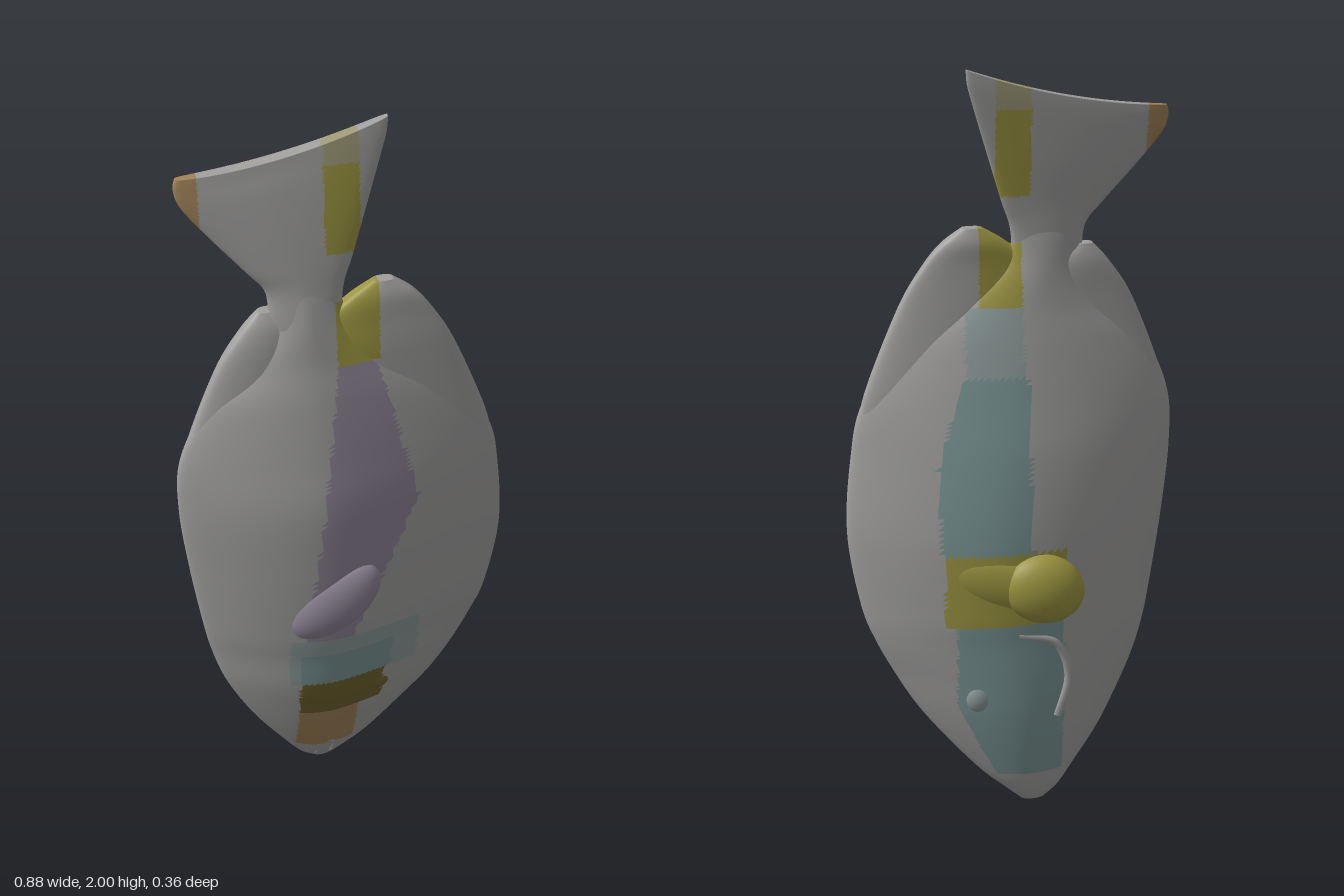
import * as THREE from 'three';

const GREY = 0xa09f9e, PURPLE = 0x8d8495, TEAL = 0x7a9494, PALE_TEAL = 0x8c9b9a, YELLOW = 0x9b9440;
const PALE_YELLOW = 0x9e9a78, OLIVE = 0x6f612c, ORANGE = 0xa08258;
const names = {
  [GREY]: 'Skin', [PURPLE]: 'PurpleFlank', [TEAL]: 'TealFlank', [PALE_TEAL]: 'PaleTealEdge',
  [YELLOW]: 'YellowPatch', [PALE_YELLOW]: 'PaleYellowEdge', [OLIVE]: 'OlivePatch', [ORANGE]: 'OrangePatch',
};
const N = 128; // points around each cross-section

function ball(name, color, pos, scale, rotZ = 0, rotY = 0) {
  const m = new THREE.Mesh(new THREE.SphereGeometry(1, 28, 18), new THREE.MeshStandardMaterial({ color }));
  m.name = name;
  m.position.set(...pos);
  m.scale.set(...scale);
  m.rotation.set(0, rotY, rotZ);
  return m;
}

function tube(name, color, pts, r) {
  const curve = new THREE.CatmullRomCurve3(pts.map(p => new THREE.Vector3(...p)));
  const m = new THREE.Mesh(new THREE.TubeGeometry(curve, 24, r, 8), new THREE.MeshStandardMaterial({ color }));
  m.name = name;
  return m;
}

// Fall-off from the ridge (u = 0) to the rim (u = 1): nearly straight with a rounded top
const straightFall = u => (Math.sqrt(1.02) - Math.sqrt(u * u + 0.02)) / (Math.sqrt(1.02) - Math.sqrt(0.02));

// Flat lens section: row = [y, xLow, xHigh, midZ, backZ, frontZ, rim, tilt, slope]
function sectionPoint([y, x0, x1, mid, back, front, rim, tilt, slope], a) {
  const t = Math.cos(a), s = Math.sin(a), half = (x1 - x0) / 2;
  const x = (x0 + x1) / 2 + half * t;
  const zr = mid - tilt * x;
  const peakX = x0 + (x1 - x0) * (s > 0 ? 0.42 : 0.52);
  const u = Math.min(1, Math.abs(x > peakX ? (x - peakX) / (x1 - peakX) : (peakX - x) / (peakX - x0)));
  const fall = s > 0 && x > peakX ? straightFall(u) : 1 - u ** 1.8;
  const edge = rim * Math.sqrt(Math.abs(s));
  const rise = Math.max(0, (s > 0 ? front - mid : mid - back) - rim) * fall;
  return [x, y + slope * t + 0.4 * slope * t * t, zr + Math.sign(s) * (edge + rise)];
}

// Smooth loft through the rows, split into one mesh per painted colour
function loft(name, rows, steps, paint = () => GREY) {
  const columns = rows[0].map((_, c) => new THREE.SplineCurve(rows.map(r => new THREE.Vector2(r[c], 0))));
  const pos = [];
  for (let i = 0; i <= steps; i++) {
    const row = columns.map(c => c.getPoint(i / steps).x);
    for (let j = 0; j < N; j++) pos.push(...sectionPoint(row, j / N * Math.PI * 2));
  }
  const sets = new Map(), all = [];
  const face = (a, b, c) => {
    const mean = k => (pos[a * 3 + k] + pos[b * 3 + k] + pos[c * 3 + k]) / 3;
    const color = paint(mean(0), mean(1), a % N < N / 2);
    if (!sets.has(color)) sets.set(color, []);
    sets.get(color).push(a, b, c);
    all.push(a, b, c);
  };
  for (let i = 0; i < steps; i++) for (let j = 0; j < N; j++) {
    const k = (j + 1) % N, a = i * N + j, b = a + N, c = i * N + k, d = c + N;
    face(a, b, c);
    face(c, b, d);
  }
  // end caps join the front and back of the first and last sections
  const top = steps * N;
  for (let j = 0; j < N / 2; j++) {
    const q = (N - j) % N, r = N - j - 1;
    face(j, j + 1, q); face(j + 1, r, q);
    face(top + j, top + q, top + j + 1); face(top + j + 1, top + q, top + r);
  }
  const base = new THREE.BufferGeometry();
  base.setAttribute('position', new THREE.Float32BufferAttribute(pos, 3));
  base.setIndex(all);
  base.computeVertexNormals();
  const group = new THREE.Group();
  group.name = name;
  for (const [color, index] of sets) {
    const m = new THREE.Mesh(base.clone().setIndex(index), new THREE.MeshStandardMaterial({ color }));
    m.name = name + names[color];
    group.add(m);
  }
  return group;
}

function paintBody(x, y, front) {
  const within = (lo, hi) => x > lo && x < hi;
  if (y > 1.4 && within(-0.03, 0.08)) return YELLOW;
  if (front) {
    if (y > 0.58 && y < 1.4) {
      const lo = -0.13 + 0.1 * (y - 0.58) / 0.82;
      const hi = y < 1 ? 0.43 * (y - 0.58) : 0.18 - 0.27 * (y - 1);
      if (within(lo, hi)) return PURPLE;
    }
    if (y > 0.41 && y < 0.52 && within(-0.14, 0.12)) return TEAL;
    if (y > 0.41 && y < 0.58 && within(-0.17, 0.2)) return PALE_TEAL;
    if (y > 0.28 && y <= 0.41 && within(-0.14, 0.1)) return OLIVE;
    if (y > 0.1 && y <= 0.28 && within(-0.14, 0.03)) return ORANGE;
  } else {
    if (y > 1.22 && y < 1.4 && within(-0.03, 0.12)) return PALE_TEAL;
    if (y > 0.76 && y <= 1.22 && within(-0.04, 0.2 - 0.3 * Math.max(0, y - 1))) return TEAL;
    if (y > 0.56 && y <= 0.76 && within(-0.13, 0.19)) return YELLOW;
    if (y > 0.1 && y <= 0.56 && within(-0.13, Math.min(0.16, y * 0.5))) return TEAL;
  }
  return GREY;
}

export function createModel() {
  const fish = new THREE.Group();
  fish.name = 'fish';

  // body, head down, narrowing to the tail stalk
  fish.add(loft('body', [
    [0.005, -0.085, -0.02, -0.055, -0.075, -0.035, 0.015, 0.05, 0],
    [0.04, -0.125, 0.02, -0.05, -0.09, -0.01, 0.028, 0.05, 0],
    [0.1, -0.17, 0.09, -0.042, -0.105, 0.025, 0.033, 0.05, 0],
    [0.2, -0.24, 0.18, -0.03, -0.122, 0.065, 0.035, 0.05, 0],
    [0.3, -0.295, 0.26, -0.015, -0.132, 0.095, 0.035, 0.05, 0],
    [0.4, -0.34, 0.32, -0.005, -0.135, 0.118, 0.035, 0.05, 0],
    [0.5, -0.37, 0.37, 0, -0.135, 0.13, 0.035, 0.05, 0],
    [0.6, -0.39, 0.405, 0.01, -0.137, 0.145, 0.035, 0.05, 0],
    [0.8, -0.42, 0.435, 0.02, -0.13, 0.162, 0.035, 0.05, 0],
    [1.0, -0.44, 0.42, 0.03, -0.105, 0.165, 0.033, 0.05, 0],
    [1.15, -0.43, 0.385, 0.035, -0.075, 0.145, 0.03, 0.05, 0],
    [1.3, -0.36, 0.28, 0.04, -0.045, 0.12, 0.03, 0.05, 0],
    [1.4, -0.26, 0.15, 0.038, -0.025, 0.1, 0.03, 0.05, 0],
    [1.5, -0.19, 0.02, 0.035, -0.01, 0.085, 0.028, 0.05, 0],
    [1.6, -0.18, -0.02, 0.028, 0, 0.06, 0.025, 0.05, 0],
  ], 180, paintBody));

  // rear lobes of the long fins beside the tail stalk
  fish.add(loft('leftFinLobe', [
    [1.0, 0.1, 0.4, 0.025, -0.005, 0.055, 0.022, 0.05, 0],
    [1.1, 0.1, 0.395, 0.032, -0.01, 0.07, 0.028, 0.05, 0],
    [1.2, 0.05, 0.37, 0.035, -0.01, 0.08, 0.03, 0.05, 0],
    [1.4, -0.08, 0.285, 0.04, 0, 0.08, 0.03, 0.05, 0],
    [1.5, -0.06, 0.225, 0.038, 0.005, 0.072, 0.03, 0.05, 0],
    [1.56, 0.005, 0.175, 0.036, 0.005, 0.065, 0.028, 0.05, 0],
    [1.6, 0.07, 0.12, 0.034, 0.018, 0.05, 0.015, 0.05, 0],
  ], 50, (x, y) => (y > 1.4 && x < 0.08 ? YELLOW : GREY)));
  fish.add(loft('rightFinLobe', [
    [1.0, -0.42, -0.15, 0.03, 0.005, 0.055, 0.022, 0.05, 0],
    [1.1, -0.425, -0.13, 0.032, 0, 0.065, 0.028, 0.05, 0],
    [1.2, -0.41, -0.1, 0.035, 0, 0.08, 0.03, 0.05, 0],
    [1.4, -0.33, -0.05, 0.035, 0, 0.075, 0.03, 0.05, 0],
    [1.5, -0.265, -0.1, 0.032, 0, 0.065, 0.028, 0.05, 0],
    [1.55, -0.22, -0.17, 0.03, 0.012, 0.045, 0.015, 0.05, 0],
  ], 40));

  // fan tail with a slanted rear edge
  fish.add(loft('tail', [
    [1.4, -0.17, -0.02, 0.035, 0, 0.09, 0.03, 0.06, 0],
    [1.52, -0.19, -0.012, 0.033, 0, 0.075, 0.03, 0.06, 0],
    [1.6, -0.2, -0.003, 0.027, -0.003, 0.06, 0.026, 0.06, 0],
    [1.66, -0.245, 0.02, 0.02, -0.008, 0.05, 0.025, 0.07, 0.005],
    [1.76, -0.325, 0.058, 0.006, -0.02, 0.035, 0.023, 0.07, 0.02],
    [1.85, -0.39, 0.092, -0.006, -0.029, 0.02, 0.021, 0.07, 0.035],
    [1.9, -0.405, 0.11, -0.012, -0.033, 0.01, 0.02, 0.07, 0.045],
    [1.93, -0.4, 0.113, -0.015, -0.034, 0.005, 0.018, 0.07, 0.05],
  ], 70, (x, y) => {
    if (x > -0.05 && x < 0.04 && y > 1.68) return y > 1.9 ? PALE_YELLOW : YELLOW;
    return x < -0.35 ? ORANGE : GREY;
  }));

  // side fins lying against each flank, raised at the free tip
  fish.add(ball('frontSideFin', PURPLE, [-0.05, 0.705, 0.136], [0.15, 0.085, 0.045], 0.75, -0.08));
  fish.add(ball('backSideFin', YELLOW, [0.05, 0.68, -0.112], [0.15, 0.075, 0.036], 0.3, -0.1));
  fish.add(ball('backSideFinTip', YELLOW, [-0.07, 0.66, -0.125], [0.11, 0.095, 0.058], 0.3));

  // eyes
  fish.add(ball('frontEye', OLIVE, [0.085, 0.355, 0.04], [0.045, 0.05, 0.035]));
  fish.add(ball('backEye', PALE_TEAL, [0.1, 0.35, -0.103], [0.042, 0.05, 0.028]));

  // gill cover edge and mouth
  fish.add(tube('gillEdge', GREY, [[-0.11, 0.28, -0.108], [-0.14, 0.4, -0.107], [-0.1, 0.5, -0.115], [0, 0.53, -0.126]], 0.012));
  fish.add(tube('mouth', GREY, [[-0.075, 0.04, -0.014], [-0.07, 0.11, 0.024], [-0.035, 0.11, 0.022], [-0.03, 0.04, -0.016]], 0.008));

  return fish;
}
